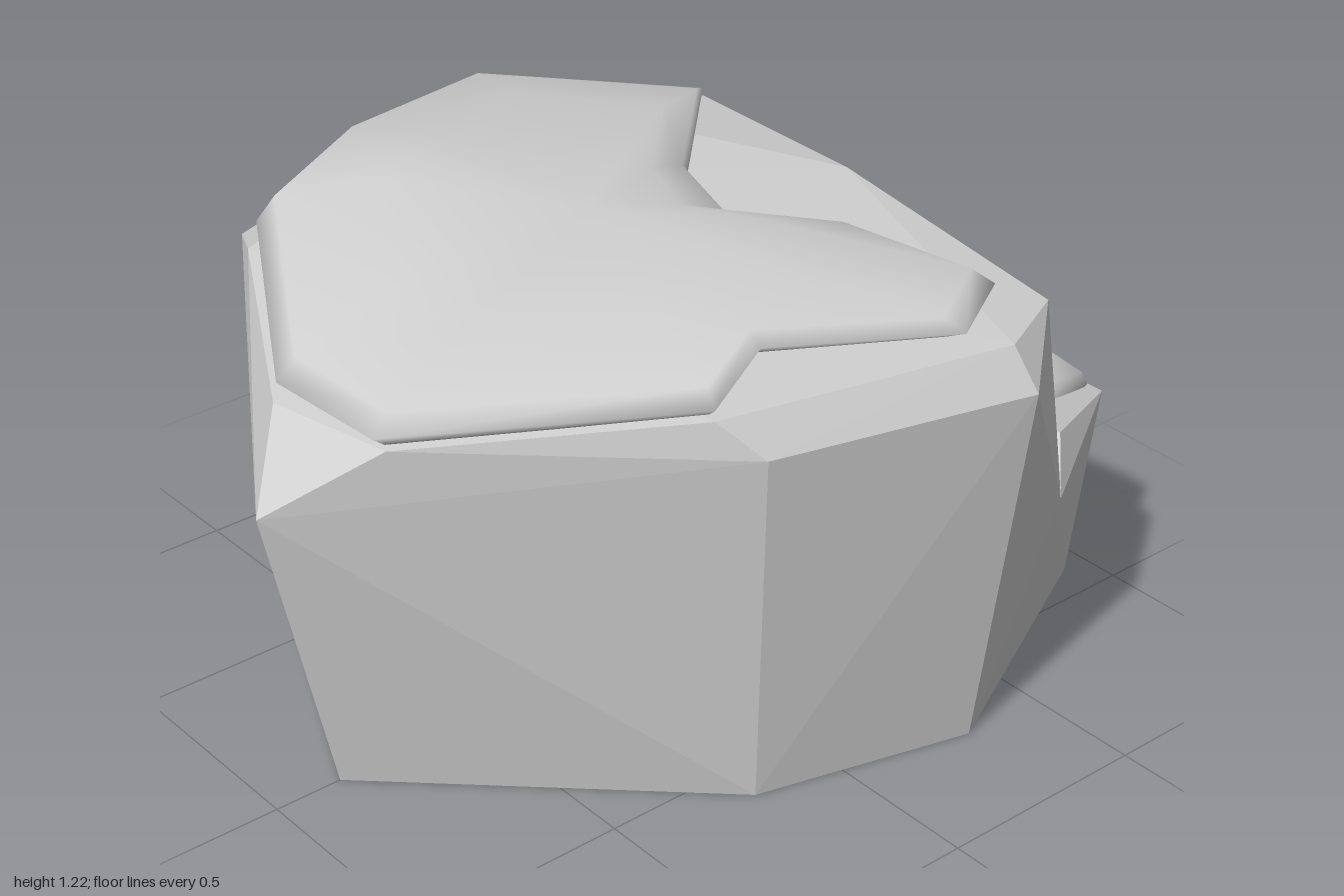
import * as THREE from 'three';
import { ConvexGeometry } from 'three/addons/geometries/ConvexGeometry.js';
import { mergeVertices } from 'three/addons/utils/BufferGeometryUtils.js';

// Faceted stone from its corner points
function stone(name, corners, material) {
  const mesh = new THREE.Mesh(new ConvexGeometry(corners.map(c => new THREE.Vector3(...c))), material);
  mesh.name = name;
  return mesh;
}

// Smooth soft layer: rings shrink from the rim [x, z, rimY, shoulderY, innerY] to a centre [x, z, bottomY, topY]
function softCap(name, rim, [cx, cz, bottomY, topY], material) {
  const rings = [
    [0, () => bottomY],
    [0.95, p => p[2]],
    [1, p => p[2] * 0.6 + p[3] * 0.4],
    [0.94, p => p[3]],
    [0.62, p => p[4]],
    [0, () => topY],
  ];
  const n = rim.length, positions = [], index = [];
  for (const [s, y] of rings)
    for (const p of rim) positions.push(cx + (p[0] - cx) * s, y(p), cz + (p[1] - cz) * s);
  for (let k = 0; k < rings.length - 1; k++)
    for (let i = 0; i < n; i++) {
      const j = (i + 1) % n;
      const a = k * n + i, b = k * n + j, c = a + n, d = b + n;
      if (k > 0) index.push(b, a, c);
      if (k < rings.length - 2) index.push(b, c, d);
    }
  let geometry = new THREE.BufferGeometry();
  geometry.setAttribute('position', new THREE.Float32BufferAttribute(positions, 3));
  geometry.setIndex(index);
  geometry = mergeVertices(geometry);
  geometry.computeVertexNormals();
  const mesh = new THREE.Mesh(geometry, material);
  mesh.name = name;
  return mesh;
}

export function createModel() {
  const group = new THREE.Group();
  group.name = 'cappedBoulder';
  const flat = new THREE.MeshStandardMaterial({ color: 0xcccccc, flatShading: true });
  const smooth = new THREE.MeshStandardMaterial({ color: 0xcccccc });

  // Main boulder
  group.add(stone('boulder', [
    // base
    [-0.84, 0, 0], [-0.2, 0, 0.6], [0.3, 0, 0.73], [0.6, 0, 0.55],
    [0.58, 0, -0.46], [-0.1, 0, -0.76], [-0.55, 0, -0.6],
    // shoulder
    [-1, 0.71, 0], [-0.8, 0.87, 0.17], [-0.23, 0.85, 0.65], [0.34, 0.87, 0.825],
    [0.59, 0.72, 0.64], [0.6, 0.45, 0.675], [0.69, 0.53, 0.57],
    [0.64, 0.6, -0.32], [0.56, 0.69, -0.49], [-0.1, 0.93, -0.83], [-0.58, 0.95, -0.66],
    // top edge
    [-0.88, 0.89, -0.1], [-0.3, 0.93, 0.57], [0.33, 0.96, 0.76], [0.52, 0.96, 0.67],
    [0.5, 1.05, 0.08], [0.52, 1.04, -0.42], [0.08, 1.09, -0.71],
    [-0.37, 1.06, -0.55], [-0.66, 1.0, -0.51],
  ], flat));

  // Low ledge on the left side
  group.add(stone('ledge', [
    [0.3, 0, 0.73], [0.93, 0, 0.41], [0.58, 0, -0.46], [0.1, 0, 0],
    [0.6, 0.45, 0.675], [0.7, 0.53, 0.57], [1, 0.46, 0.42], [0.86, 0.54, -0.02],
    [0.84, 0.57, -0.08], [0.65, 0.61, -0.3], [0.56, 0.68, -0.48], [0.3, 0.5, 0.2],
  ], flat));

  // Large soft layer over the top
  group.add(softCap('topLayer', [
    [-0.87, -0.1, 0.9, 0.98, 1.08], [-0.66, -0.47, 1.04, 1.14, 1.19],
    [-0.4, -0.54, 1.1, 1.2, 1.22], [0.08, -0.71, 1.09, 1.14, 1.19],
    [0.5, -0.4, 1.06, 1.09, 1.15], [0.2, -0.1, 1.05, 1.09, 1.13],
    [0.15, 0.1, 1.02, 1.07, 1.1], [0.33, 0.3, 1.01, 1.06, 1.08],
    [0.39, 0.64, 1.01, 1.06, 1.07], [0.2, 0.75, 1.01, 1.05, 1.07],
    [-0.12, 0.5, 0.98, 1.03, 1.07], [-0.3, 0.57, 0.93, 0.99, 1.05],
    [-0.83, 0.17, 0.88, 0.95, 1.03],
  ], [-0.15, 0, 0.95, 1.13], smooth));

  // Small soft layer on the ledge
  group.add(softCap('ledgeLayer', [
    [0.69, 0.04, 0.6, 0.66, 0.64], [0.79, 0, 0.58, 0.64, 0.63],
    [0.86, 0.08, 0.54, 0.6, 0.61], [0.97, 0.4, 0.46, 0.51, 0.56],
    [0.72, 0.46, 0.5, 0.57, 0.59],
  ], [0.81, 0.22, 0.5, 0.6], smooth));

  return group;
}
